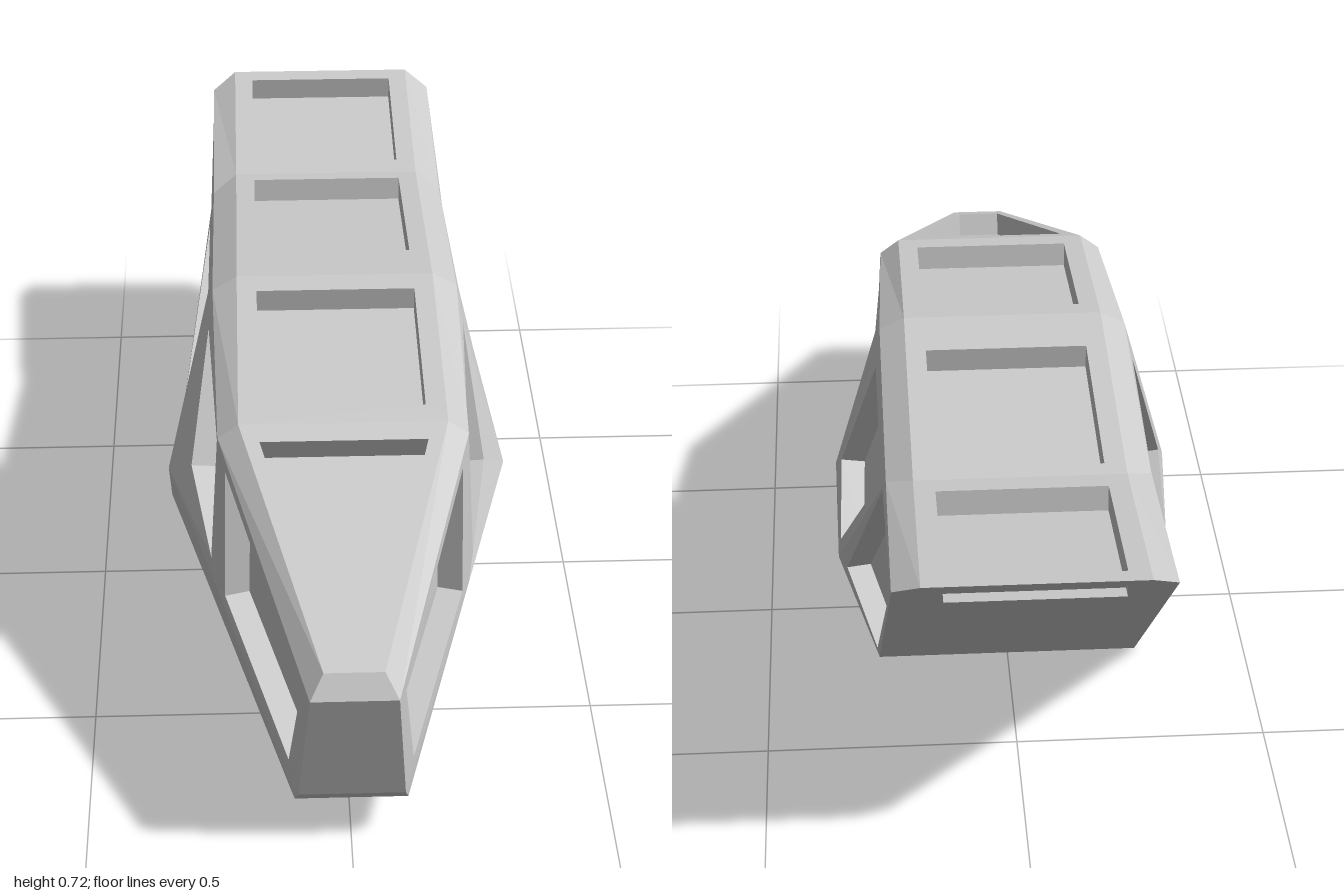
import * as THREE from 'three';

const V = (x, y, z) => new THREE.Vector3(x, y, z);
const flip = (p) => V(-p.x, p.y, p.z);
const mirrored = (face) => face.map(flip).reverse();
// quad spanning both sides, from edge a (first) to edge b (last)
const across = (a, b) => [flip(a), a, b, flip(b)];

const material = new THREE.MeshStandardMaterial({ color: 0xcccccc, flatShading: true });

// Flat-shaded mesh from convex polygons
function polyMesh(name, faces) {
  const pts = [];
  for (const f of faces)
    for (let i = 1; i < f.length - 1; i++) pts.push(f[0], f[i], f[i + 1]);
  const geometry = new THREE.BufferGeometry().setFromPoints(pts);
  geometry.computeVertexNormals();
  const mesh = new THREE.Mesh(geometry, material);
  mesh.name = name;
  return mesh;
}

const cornerNormal = (prev, cur, next) =>
  next.clone().sub(cur).cross(prev.clone().sub(cur)).normalize();

// Framed panel: border strip, sunken walls and floor.
// The opening's corners are dropped onto the outer surface along `axis`.
function recessedPanel(outer, opening, axis, depth) {
  const mean = V(0, 0, 0);
  const inner = opening.map((q, i) => {
    const p = outer[i];
    const n = cornerNormal(outer[(i + 3) % 4], p, outer[(i + 1) % 4]);
    mean.add(n);
    const hit = q.clone();
    hit[axis] = p[axis];
    hit[axis] -= n.dot(hit.clone().sub(p)) / n[axis];
    return hit;
  });
  mean.normalize().multiplyScalar(-depth);
  const floor = inner.map((p) => p.clone().add(mean));
  const faces = [floor];
  for (let i = 0; i < 4; i++) {
    const j = (i + 1) % 4;
    faces.push([outer[i], outer[j], inner[j], inner[i]]);
    faces.push([inner[i], inner[j], floor[j], floor[i]]);
  }
  return faces;
}

export function createModel() {
  const group = new THREE.Group();

  // Roof edge and the chamfer rim below it, nose to tail (left side)
  const roof = [V(0.055, 0.47, 0.975), V(0.2, 0.66, 0.45), V(0.2, 0.718, -0.02), V(0.2, 0.67, -0.57), V(0.2, 0.72, -1)];
  const rim = [V(0.08, 0.425, 1), V(0.24, 0.63, 0.45), V(0.25, 0.69, -0.015), V(0.25, 0.645, -0.53), V(0.25, 0.69, -0.966)];
  // Sill, widest points and keel corners
  const noseSill = V(0.1, 0.135, 0.91);
  const noseKeel = V(0.107, 0.1, 0.88);
  const midSill = V(0.25, 0.28, 0.45);
  const beltTop = V(0.35, 0.32, 0.08);
  const beltLow = V(0.35, 0.165, -0.05);
  const tailKeel = V(0.27, 0, -0.19);

  // Faces of one side of the hull
  const side = [
    [noseSill, noseKeel, midSill],
    [noseKeel, beltLow, midSill],
    [midSill, beltLow, beltTop],
    [noseKeel, tailKeel, beltLow],
  ];
  for (let i = 0; i < 4; i++) side.push([rim[i], rim[i + 1], roof[i + 1], roof[i]]);

  group.add(polyMesh('hullSides', [...side, ...side.map(mirrored)]));
  group.add(polyMesh('nose', [
    across(rim[0], roof[0]), across(noseSill, rim[0]), across(noseKeel, noseSill),
  ]));
  group.add(polyMesh('underside', [across(tailKeel, noseKeel)]));
  group.add(polyMesh('tailPlate', [
    [roof[4], rim[4], tailKeel, flip(tailKeel), flip(rim[4]), flip(roof[4])],
  ]));

  // Roof panels: front and rear edge of each opening as [half width, z]
  const roofOpenings = [
    [[0.045, 0.925], [0.16, 0.49]],
    [[0.16, 0.4], [0.16, 0.03]],
    [[0.16, -0.14], [0.16, -0.535]],
    [[0.16, -0.62], [0.16, -0.962]],
  ];
  roofOpenings.forEach(([a, b], i) => {
    const opening = across(V(a[0], 0, a[1]), V(b[0], 0, b[1]));
    group.add(polyMesh('roofPanel' + (i + 1),
      recessedPanel(across(roof[i], roof[i + 1]), opening, 'y', 0.05)));
  });

  // Side windows: outer corners and opening corners as [z, y]
  const sideWindows = [
    [[rim[0], noseSill, midSill, rim[1]], [[0.95, 0.415], [0.86, 0.178], [0.5, 0.295], [0.5, 0.585]]],
    [[rim[1], midSill, beltTop, rim[2]], [[0.41, 0.6], [0.41, 0.325], [0.17, 0.385], [0.06, 0.645]]],
    [[rim[2], beltTop, beltLow, rim[3]], [[-0.09, 0.645], [0.05, 0.345], [-0.06, 0.215], [-0.46, 0.605]]],
    [[rim[3], beltLow, tailKeel, rim[4]], [[-0.51, 0.615], [-0.1, 0.17], [-0.22, 0.045], [-0.91, 0.657]]],
  ];
  sideWindows.forEach(([outer, opening], i) => {
    const faces = recessedPanel(outer, opening.map(([z, y]) => V(0, y, z)), 'x', 0.05);
    group.add(polyMesh('leftWindow' + (i + 1), faces));
    group.add(polyMesh('rightWindow' + (i + 1), faces.map(mirrored)));
  });

  return group;
}
